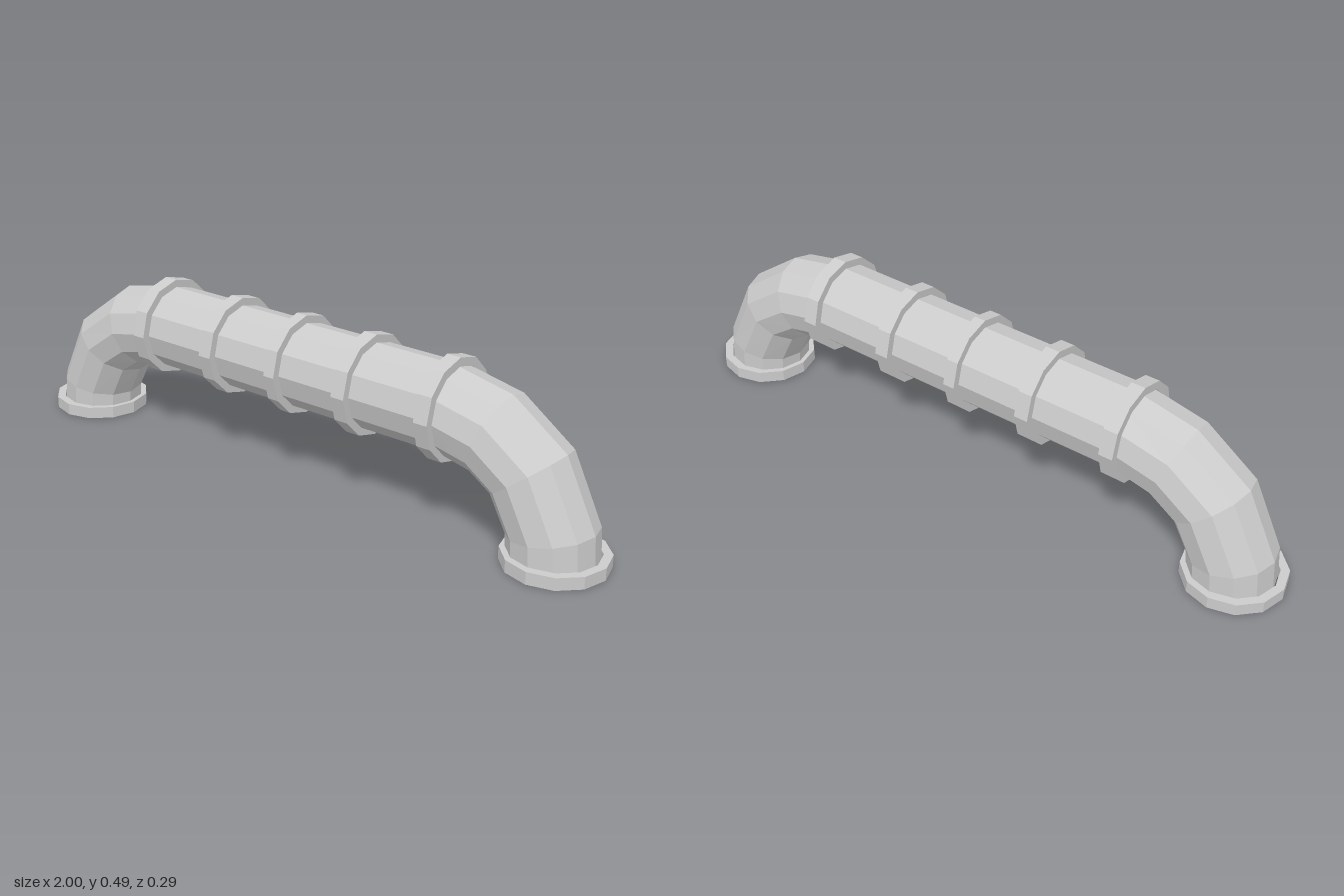
import * as THREE from 'three';

const SIDES = 12;
const PIPE_R = 0.124;
const AXIS_Y = 0.345;

const material = new THREE.MeshStandardMaterial({ color: 0xcccccc, flatShading: true, side: THREE.DoubleSide });

// Pipe skinned over 12-sided cross-sections, each [x, y, lean of its plane in degrees]
function pipeGeometry() {
  const half = [
    [0.846, 0.015, 90],
    [0.84, 0.091, 80],
    [0.768, 0.235, 52.5],
    [0.655, 0.315, 21.5],
    [0.515, AXIS_Y, 0],
  ];
  const sections = [
    ...half.map(([x, y, a]) => [-x, y, -a]),
    ...half.slice().reverse(),
  ];
  const positions = [];
  const indices = [];
  sections.forEach(([cx, cy, lean], s) => {
    const a = THREE.MathUtils.degToRad(lean);
    for (let i = 0; i < SIDES; i++) {
      const t = (i / SIDES) * Math.PI * 2;
      const out = Math.cos(t) * PIPE_R; // towards the outside of the bend
      positions.push(cx + Math.sin(a) * out, cy + Math.cos(a) * out, Math.sin(t) * PIPE_R);
      if (s === 0) continue;
      const j = (i + 1) % SIDES;
      const p = (s - 1) * SIDES, q = s * SIDES;
      indices.push(p + i, p + j, q + j, p + i, q + j, q + i);
    }
  });
  const geometry = new THREE.BufferGeometry();
  geometry.setAttribute('position', new THREE.Float32BufferAttribute(positions, 3));
  geometry.setIndex(indices);
  geometry.computeVertexNormals();
  return geometry;
}

// Flat ring with a rectangular section, centred on its own axis (y)
function collar(name, width) {
  const inner = 0.122, outer = 0.147, h = width / 2;
  const profile = [[inner, -h], [outer, -h], [outer, h], [inner, h], [inner, -h]]
    .map(([r, y]) => new THREE.Vector2(r, y));
  const mesh = new THREE.Mesh(new THREE.LatheGeometry(profile, SIDES), material);
  mesh.name = name;
  return mesh;
}

export function createModel() {
  const group = new THREE.Group();
  group.name = 'pipeArch';

  const pipe = new THREE.Mesh(pipeGeometry(), material);
  pipe.name = 'pipe';
  group.add(pipe);

  // Collars along the straight run
  [-0.515, -0.245, 0, 0.243, 0.515].forEach((x, i) => {
    const ring = collar('collar' + (i + 1), x === 0 ? 0.036 : 0.043);
    ring.rotation.z = Math.PI / 2;
    ring.position.set(x, AXIS_Y, 0);
    group.add(ring);
  });

  // Foot collars at the open ends
  for (const side of [-1, 1]) {
    const foot = collar(side > 0 ? 'leftFootCollar' : 'rightFootCollar', 0.036);
    foot.position.set(side * 0.853, 0.018, 0);
    group.add(foot);
  }
  return group;
}
